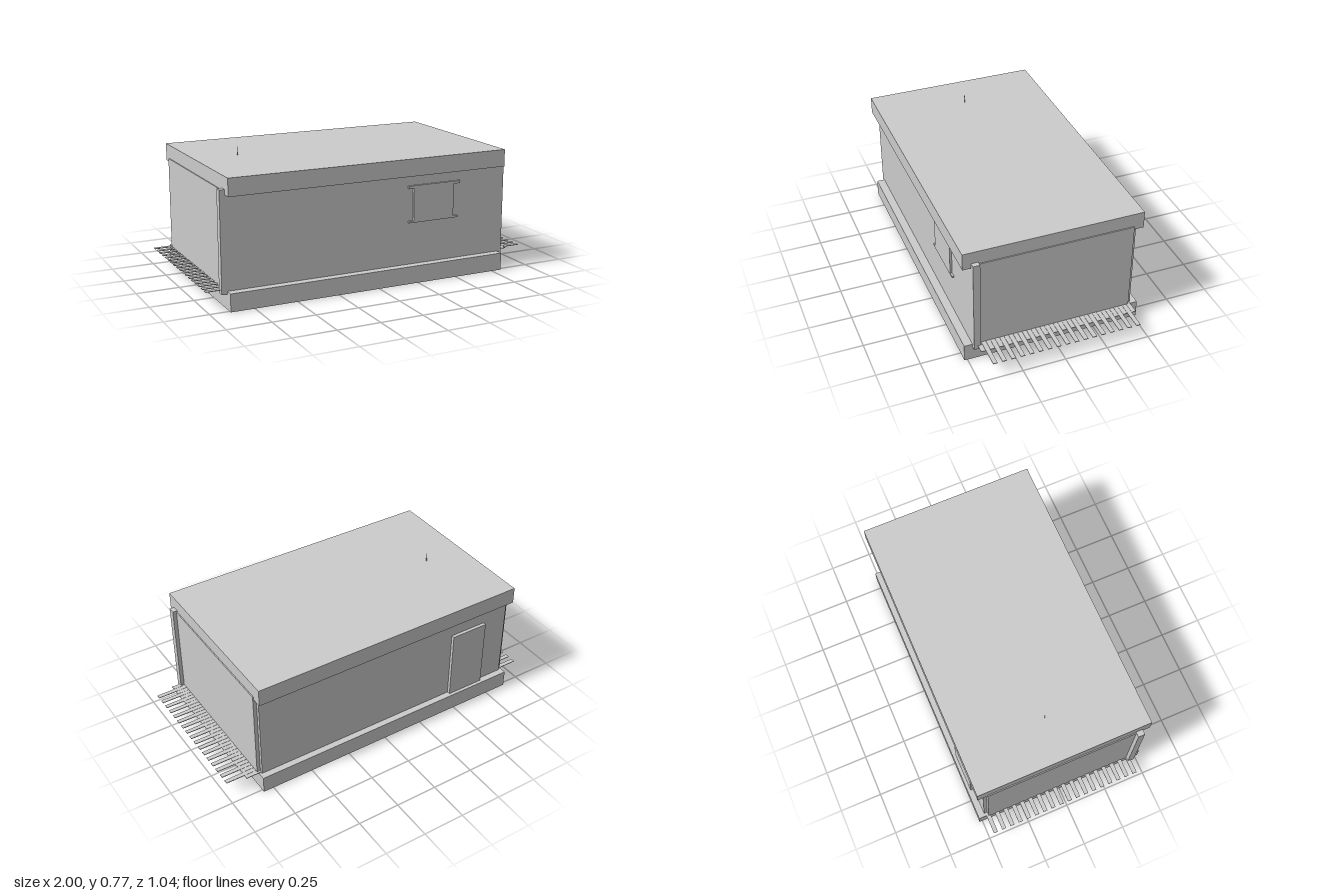
import * as THREE from 'three';

export function createModel() {
  const model = new THREE.Group();
  const material = new THREE.MeshStandardMaterial({ color: 0xcccccc, flatShading: true });

  const add = (name, geometry, parent = model) => {
    const mesh = new THREE.Mesh(geometry, material);
    mesh.name = name;
    parent.add(mesh);
    return mesh;
  };
  // Box given by its [min, max] range on each axis
  const box = (name, [x0, x1], [y0, y1], [z0, z1], parent) =>
    add(name, new THREE.BoxGeometry(x1 - x0, y1 - y0, z1 - z0), parent)
      .position.set((x0 + x1) / 2, (y0 + y1) / 2, (z0 + z1) / 2);

  // Foundation and roof slabs
  box('foundation', [-0.887, 0.812], [0, 0.102], [-0.518, 0.518]);
  box('roof', [-0.887, 0.812], [0.625, 0.725], [-0.518, 0.518]);

  // Wall panels: the front one runs past the corners
  box('frontWall', [-0.918, 0.84], [0.085, 0.655], [0.43, 0.47]);
  box('backWall', [-0.87, 0.797], [0.09, 0.645], [-0.48, -0.44]);
  box('leftWall', [0.778, 0.818], [0.091, 0.645], [-0.46, 0.43]);
  box('rightWall', [-0.893, -0.853], [0.091, 0.645], [-0.46, 0.43]);

  // Window: one panel with a wider lintel and sill
  const outline = [
    [0.205, 0.347], [0.525, 0.347], [0.525, 0.358], [0.495, 0.358], [0.495, 0.547], [0.537, 0.547],
    [0.537, 0.562], [0.2, 0.562], [0.2, 0.547], [0.235, 0.547], [0.235, 0.358], [0.205, 0.358],
  ].map(([x, y]) => new THREE.Vector2(x, y));
  add('window', new THREE.ExtrudeGeometry(new THREE.Shape(outline), { depth: 0.022, bevelEnabled: false }))
    .position.z = 0.46;

  // Door on the back wall
  box('door', [-0.71, -0.477], [0.085, 0.525], [-0.499, -0.47]);

  // Floorboards: two interleaved sets, shifted along x
  const floor = new THREE.Group();
  floor.name = 'floorboards';
  model.add(floor);
  const pitch = 0.0527;
  for (let i = 0; i < 18; i++) {
    const z = -0.46 + i * pitch;
    box('floorboard', [-1, 0.89], [0.104, 0.108], [z - 0.0125, z + 0.0125], floor);
    if (i < 17) {
      const mid = z + pitch / 2;
      box('offsetFloorboard', [-0.88, 1], [0.104, 0.108], [mid - 0.0125, mid + 0.0125], floor);
    }
  }

  // Thin antenna on the roof
  add('antenna', new THREE.CylinderGeometry(0.002, 0.002, 0.06, 8)).position.set(-0.63, 0.744, -0.01);

  return model;
}
